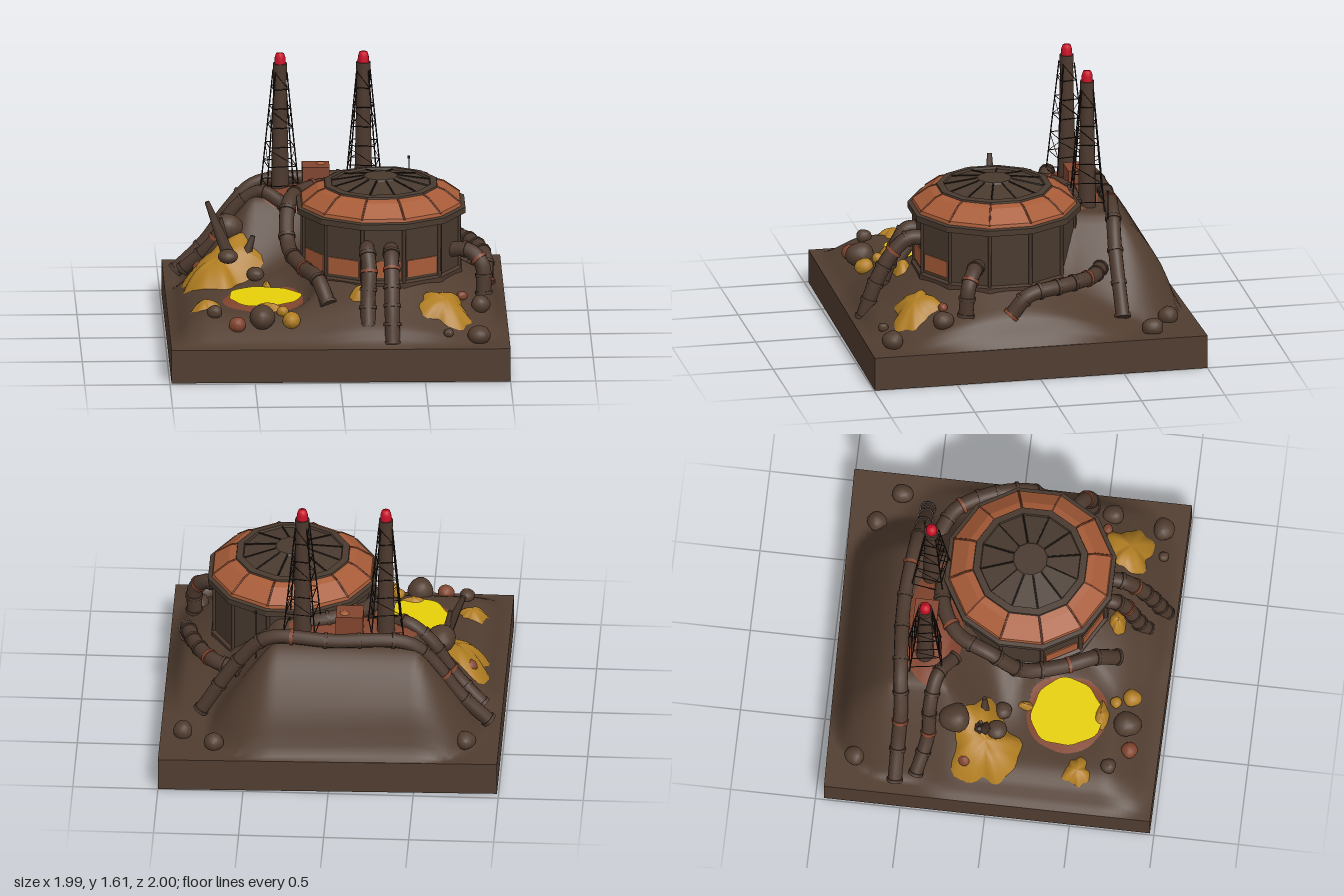
import * as THREE from 'three';
import { toCreasedNormals } from 'three/addons/utils/BufferGeometryUtils.js';

const mat = (name, color) => Object.assign(new THREE.MeshStandardMaterial({ color }), { name });
const V = (x, y, z) => new THREE.Vector3(x, y, z);
const UP = V(0, 1, 0);

// Half depth of the slightly skewed plot
const depth = (x, z) => z < 0 ? 0.975 + 0.025 * x : 0.985 + 0.01 * x;

// Height of the ground at any point
function ground(x, z) {
  const box = (x0, x1, z0, z1) => [Math.max(x0 - x, 0, x - x1), Math.max(z0 - z, 0, z - z1)];
  // steep ridge at the rear
  const [rx, rz] = box(-0.48, 0.33, -0.56, -0.3);
  const rd = Math.hypot(rx, rz);
  const power = 1.1 + (z < -0.56 ? 0.6 * rz / rd : 0);
  const ridge = 0.56 * (1 - Math.min(rd / 0.41, 1) ** power);
  // round mound under the dome
  const mt = THREE.MathUtils.clamp((Math.hypot(x - 0.26, z - 0.12) - 0.46) / 0.48, 0, 1);
  const mound = 0.28 * (1 - mt) ** 1.1;
  // low shelf on one side
  const [sx, sz] = box(-0.75, 0.1, -0.15, 0.66);
  const st = Math.min(Math.hypot(sx, sz) / 0.34, 1);
  const shelf = 0.14 * (1 - st * st * (3 - 2 * st));
  let h = 0.2 + Math.cbrt(ridge ** 3 + mound ** 3 + shelf ** 3);
  // level hollow for the pool
  const pd = Math.hypot(x + 0.42, z - 0.42);
  h = THREE.MathUtils.lerp(0.335, h, THREE.MathUtils.smoothstep(pd, 0.2, 0.34));
  const edge = Math.min(x + 0.99, 1 - x, depth(x, z) - Math.abs(z));
  return 0.2 + (h - 0.2) * THREE.MathUtils.clamp(edge / 0.1, 0, 1);
}

export function createModel() {
  const root = new THREE.Group();
  root.name = 'refinery';
  const soil = mat('soil brown', 0x513d30);
  const pipeBrown = mat('pipe brown', 0x4c392e);
  const dark = mat('dark iron', 0x261d18);
  const wallBrown = mat('wall brown', 0x493a2f);
  const rust = mat('rust', 0x82452f);
  const orange = mat('orange plate', 0xa85c38);
  const gold = mat('ore gold', 0xb07d22);
  const yellow = mat('pool yellow', 0xffe60a);
  const red = mat('beacon red', 0xc80f26);

  const add = (name, geo, material, parent = root) => {
    const m = new THREE.Mesh(geo, material);
    m.name = name;
    parent.add(m);
    return m;
  };
  const group = (name, parent = root) => {
    const g = new THREE.Group();
    g.name = name;
    parent.add(g);
    return g;
  };
  const beam = (name, a, b, r0, r1, material, parent, sides = 4) => {
    const m = add(name, new THREE.CylinderGeometry(r1, r0, a.distanceTo(b), sides), material, parent);
    m.position.copy(a).lerp(b, 0.5);
    m.quaternion.setFromUnitVectors(UP, b.clone().sub(a).normalize());
  };

  // Base slab and ground, both skewed to the plot outline
  const skew = geo => {
    const p = geo.attributes.position;
    for (let i = 0; i < p.count; i++) p.setZ(i, p.getZ(i) * depth(p.getX(i), p.getZ(i)));
    return geo;
  };
  add('baseSlab', skew(new THREE.BoxGeometry(1.99, 0.2, 2).translate(0.005, 0.1, 0)), soil);
  const land = skew(new THREE.PlaneGeometry(1.99, 2, 64, 64).rotateX(-Math.PI / 2).translate(0.005, 0, 0));
  const lp = land.attributes.position;
  for (let i = 0; i < lp.count; i++) lp.setY(i, ground(lp.getX(i), lp.getZ(i)) + 0.002);
  land.computeVertexNormals();
  add('ground', land, soil);

  // Uneven heap that follows the ground
  function heap(name, material, cx, cz, rx, rz, height, rough, seed) {
    const rings = 8, seg = 40;
    const geo = new THREE.PlaneGeometry(1, 1, seg, rings);
    const p = geo.attributes.position;
    for (let j = 0; j <= rings; j++) for (let i = 0; i <= seg; i++) {
      const a = i / seg * Math.PI * 2, t = 1 - j / rings;
      const lobe = 1 + rough * (Math.sin(3 * a + seed) + 0.7 * Math.sin(5 * a + 2 * seed) + 0.4 * Math.sin(9 * a + seed));
      const x = cx + Math.cos(a) * rx * t * lobe, z = cz - Math.sin(a) * rz * t * lobe;
      const bump = 1 + 0.12 * Math.sin(4 * a + seed) * t;
      p.setXYZ(j * (seg + 1) + i, x, ground(x, z) - 0.008 + (height + 0.018) * (1 - t ** 2.2) * bump, z);
    }
    geo.computeVertexNormals();
    // keep the faces turned upward
    if (geo.attributes.normal.getY(4 * (seg + 1) + 5) < 0) {
      const idx = geo.index.array;
      for (let k = 0; k < idx.length; k += 3) [idx[k], idx[k + 1]] = [idx[k + 1], idx[k]];
      geo.computeVertexNormals();
    }
    add(name, geo, material);
  }
  heap('sideOreHeap', gold, -0.69, -0.03, 0.23, 0.2, 0.11, 0.12, 1);
  heap('smallOreHeap', gold, -0.78, 0.52, 0.09, 0.08, 0.03, 0.14, 2);
  heap('frontOreHeap', gold, 0.63, 0.68, 0.155, 0.135, 0.06, 0.13, 4);
  heap('pipeOreHeap', gold, 0.14, 0.66, 0.08, 0.05, 0.05, 0.06, 3);
  heap('ridgeRust', rust, -0.13, -0.4, 0.42, 0.19, 0.03, 0.04, 2);

  // Pool with a rusty bank
  heap('poolBank', rust, -0.43, 0.42, 0.28, 0.28, 0.018, 0.02, 5);
  heap('poolOre', gold, -0.42, 0.62, 0.1, 0.05, 0.04, 0.06, 1);
  heap('poolOre', gold, -0.41, 0.18, 0.03, 0.05, 0.03, 0.06, 2);
  const pool = new THREE.Shape();
  for (let i = 0; i < 40; i++) {
    const a = i / 40 * Math.PI * 2, r = 0.21 + 0.01 * Math.sin(3 * a + 1) + 0.005 * Math.sin(8 * a);
    pool[i ? 'lineTo' : 'moveTo'](Math.cos(a) * r, Math.sin(a) * r);
  }
  add('pool', new THREE.ShapeGeometry(pool).rotateX(-Math.PI / 2), yellow).position.set(-0.43, 0.367, 0.42);

  // Rocks: x, z, radius, material
  const rocks = [
    [-0.8, -0.79, 0.06, soil], [0.68, -0.83, 0.06, soil], [0.87, -0.7, 0.06, soil], [-0.62, -0.22, 0.09, soil],
    [-0.78, -0.14, 0.05, rust], [-0.47, 0.05, 0.05, soil], [-0.73, 0.7, 0.045, soil], [-0.6, 0.81, 0.05, rust],
    [-0.45, 0.78, 0.08, soil], [0.84, 0.55, 0.06, soil], [0.73, 0.53, 0.03, rust], [0.82, 0.85, 0.065, soil],
    [0.64, 0.87, 0.03, soil], [-0.33, 0.7, 0.035, gold], [-0.28, 0.79, 0.055, gold]];
  rocks.forEach(([x, z, r, material], i) => {
    const geo = new THREE.IcosahedronGeometry(r, 2);
    const p = geo.attributes.position, v = V(0, 0, 0);
    for (let k = 0; k < p.count; k++) {
      v.fromBufferAttribute(p, k);
      v.multiplyScalar(1 + 0.05 * Math.sin(v.x / r * 3 + i) + 0.05 * Math.sin(v.z / r * 4 + i * 2));
      p.setXYZ(k, v.x, v.y * 0.9, v.z);
    }
    add('rock', toCreasedNormals(geo, 0.7), material).position.set(x, ground(x, z) + r * 0.5, z);
  });
  const capRock = add('heapRock', new THREE.IcosahedronGeometry(0.06, 2), soil);
  capRock.position.set(-0.63, 0.5, 0.03);
  capRock.scale.y = 0.7;

  // Jagged shards in the heap
  beam('shard', V(-0.61, 0.45, -0.04), V(-0.75, 0.81, -0.06), 0.045, 0.015, pipeBrown, root, 5);
  beam('shard', V(-0.63, 0.45, -0.08), V(-0.67, 0.71, -0.06), 0.04, 0.012, pipeBrown, root, 5);
  beam('shard', V(-0.55, 0.4, -0.05), V(-0.48, 0.6, -0.06), 0.045, 0.015, pipeBrown, root, 5);

  // Domed hall with twelve sides
  const hall = group('hall');
  hall.position.set(0.265, 0, 0.125);
  hall.rotation.y = Math.PI / 12;
  const N = 12, step = Math.PI * 2 / N;
  const faceted = (name, pts, material) => add(name, toCreasedNormals(
    new THREE.LatheGeometry(pts.map(([x, y]) => new THREE.Vector2(x, y)), N), 0.1), material, hall);
  faceted('walls', [[0.47, 0.4], [0.47, 0.84]], wallBrown);
  faceted('footRing', [[0.47, 0.46], [0.49, 0.46], [0.49, 0.49], [0.47, 0.5]], pipeBrown);
  faceted('eaves', [[0.45, 0.82], [0.51, 0.82], [0.51, 0.855], [0.46, 0.865]], wallBrown);
  faceted('roofPanels', [[0.485, 0.86], [0.48, 0.88], [0.385, 0.95], [0.33, 0.968]], orange);
  faceted('roofRing', [[0.345, 0.955], [0.34, 0.975], [0.3, 0.98], [0.295, 0.965]], wallBrown);
  faceted('crown', [[0.3, 0.965], [0.11, 1.005], [0.1, 1.015], [0, 1.015]], wallBrown);
  for (let i = 0; i < N; i++) {
    const a = i * step, at = (r, y) => V(Math.sin(a) * r, y, Math.cos(a) * r);
    beam('wallPost', at(0.472, 0.46), at(0.472, 0.83), 0.012, 0.012, pipeBrown, hall);
    beam('roofRib', at(0.483, 0.877), at(0.385, 0.95), 0.006, 0.006, rust, hall);
    beam('roofRib', at(0.385, 0.95), at(0.33, 0.968), 0.006, 0.006, rust, hall);
    beam('crownRib', at(0.3, 0.968), at(0.1, 1.01), 0.005, 0.005, dark, hall);
  }
  // Rusty plates low on the front walls
  for (const i of [-2.5, -1.5, -0.5, 0.5]) {
    const a = i * step, r = 0.47 * Math.cos(step / 2) + 0.003;
    const plate = add('wallPlate', new THREE.BoxGeometry(0.2, 0.1, 0.008), orange, hall);
    plate.position.set(Math.sin(a) * r, 0.57, Math.cos(a) * r);
    plate.rotation.y = a;
  }

  // Pipes with collars
  function pipe(name, pts, r = 0.04, collars = 6) {
    const g = group(name);
    const curve = new THREE.CatmullRomCurve3(pts.map(p => V(...p)));
    add('pipeRun', new THREE.TubeGeometry(curve, 48, r, 12), pipeBrown, g);
    for (let i = 0; i <= collars; i++) {
      const c = add('collar', new THREE.CylinderGeometry(r * 1.15, r * 1.15, 0.02, 12), i % 5 === 2 ? rust : pipeBrown, g);
      c.position.copy(curve.getPointAt(i / collars));
      c.quaternion.setFromUnitVectors(UP, curve.getTangentAt(i / collars));
    }
  }
  pipe('ridgePipe', [[-0.92, 0.26, -0.54], [-0.75, 0.43, -0.54], [-0.6, 0.64, -0.54], [-0.45, 0.78, -0.56], [0, 0.8, -0.59],
    [0.38, 0.79, -0.56], [0.55, 0.62, -0.54], [0.77, 0.28, -0.54]], 0.042, 11);
  pipe('rightRidgePipe', [[-0.88, 0.3, -0.42], [-0.71, 0.47, -0.37], [-0.58, 0.68, -0.37], [-0.43, 0.79, -0.34], [-0.3, 0.74, -0.26]]);
  pipe('wrapPipe', [[0.2, 0.78, -0.38], [0, 0.82, -0.36], [-0.18, 0.82, -0.25], [-0.27, 0.8, -0.05],
    [-0.28, 0.6, 0.15], [-0.2, 0.53, 0.38], [-0.12, 0.51, 0.55], [-0.06, 0.39, 0.67]], 0.045, 9);
  pipe('frontPipe', [[0.17, 0.7, 0.55], [0.17, 0.7, 0.63], [0.18, 0.6, 0.7], [0.17, 0.44, 0.76], [0.17, 0.3, 0.82]], 0.045, 5);
  pipe('frontPipe', [[0.31, 0.69, 0.55], [0.31, 0.69, 0.65], [0.31, 0.6, 0.75], [0.31, 0.42, 0.85], [0.31, 0.22, 0.92]], 0.045, 6);
  pipe('sidePipe', [[0.66, 0.61, 0.3], [0.77, 0.62, 0.35], [0.85, 0.55, 0.4], [0.86, 0.38, 0.42]], 0.045, 4);
  pipe('rearSidePipe', [[0.54, 0.5, -0.45], [0.7, 0.51, -0.37], [0.82, 0.51, -0.18], [0.88, 0.48, 0.05], [0.88, 0.37, 0.15]], 0.045, 7);

  // Chimney masts with lattice frames
  for (const [x, z, turn] of [[-0.31, -0.43, 0.15], [0.18, -0.45, -0.15]]) {
    const mast = group('mast');
    mast.position.set(x, 0, z);
    mast.rotation.y = turn;
    add('chimney', new THREE.CylinderGeometry(0.038, 0.055, 0.8, 14), pipeBrown, mast).position.y = 1.1;
    add('chimneyCollar', new THREE.CylinderGeometry(0.042, 0.042, 0.05, 14), pipeBrown, mast).position.y = 1.52;
    add('beacon', new THREE.LatheGeometry([[0.034, 1.54], [0.032, 1.58], [0.024, 1.605], [0, 1.61]].map(
      ([r, y]) => new THREE.Vector2(r, y)), 14), red, mast);
    const corner = (k, y) => {
      const h = THREE.MathUtils.mapLinear(y, 0.74, 1.5, 0.1, 0.035), a = (k + 0.5) * Math.PI / 2;
      return V(Math.cos(a) * h * 1.41, y, Math.sin(a) * h * 1.41);
    };
    for (let k = 0; k < 4; k++) {
      beam('latticeLeg', corner(k, 0.74), corner(k, 1.5), 0.004, 0.004, dark, mast);
      for (let j = 0; j < 6; j++) {
        const y = 0.82 + j * 0.115;
        beam('latticeRung', corner(k, y), corner(k + 1, y), 0.003, 0.003, dark, mast);
        if (j % 2) beam('latticeBrace', corner(k, y), corner(k + 1, y + 0.1), 0.002, 0.002, dark, mast);
      }
    }
  }

  // Vent box between the masts and a small aerial
  add('ventBox', new THREE.BoxGeometry(0.16, 0.18, 0.14), rust).position.set(-0.1, 0.83, -0.45);
  const vent = add('ventCap', new THREE.SphereGeometry(0.03, 12, 8), orange);
  vent.position.set(-0.07, 0.915, -0.47);
  vent.scale.y = 0.5;
  beam('aerial', V(0.45, 0.6, -0.52), V(0.45, 0.94, -0.52), 0.003, 0.003, dark, root);
  add('aerialHead', new THREE.BoxGeometry(0.015, 0.015, 0.015), dark).position.set(0.45, 0.94, -0.52);
  return root;
}
